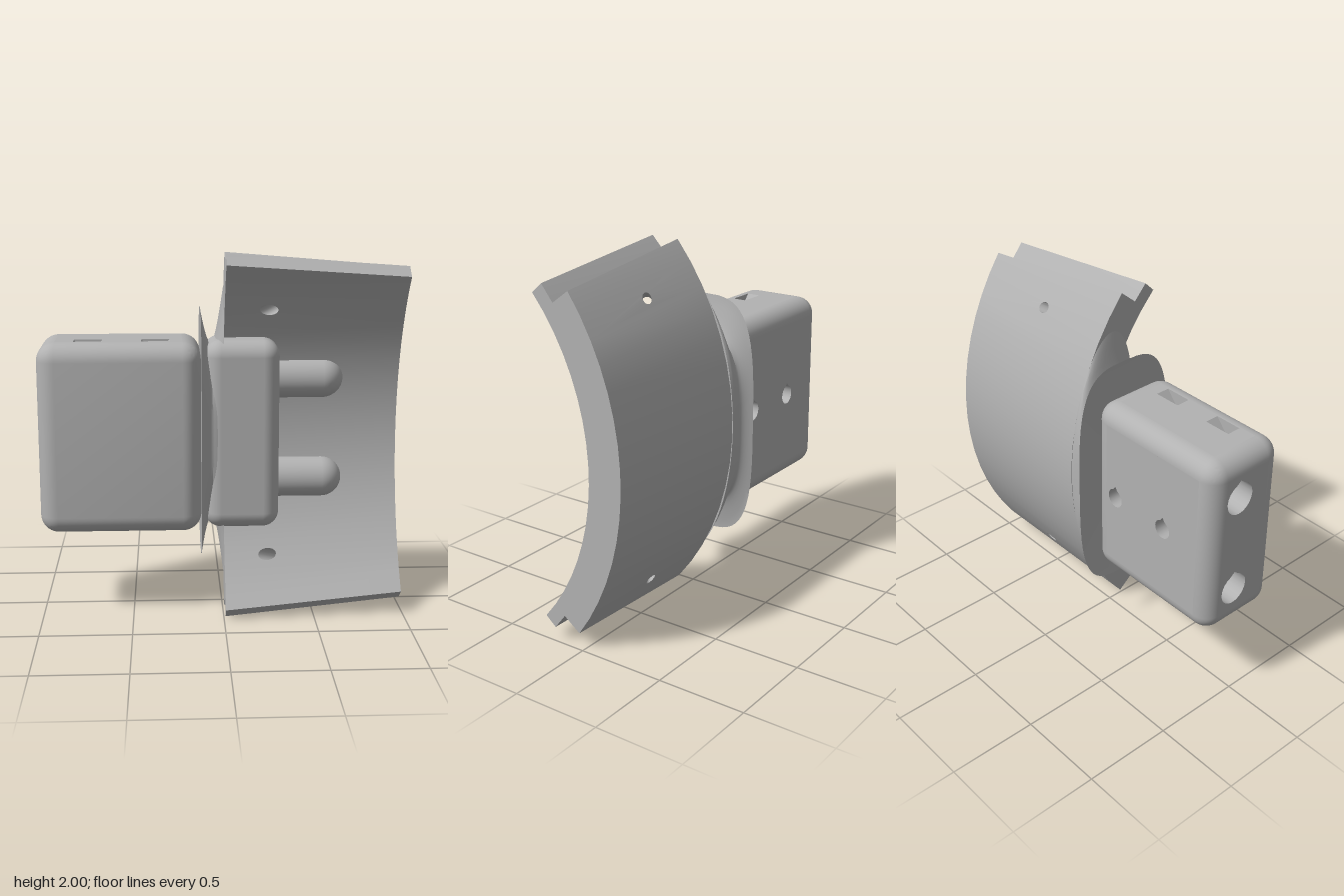
import * as THREE from 'three';
import { mergeGeometries, toCreasedNormals } from 'three/addons/utils/BufferGeometryUtils.js';
import { RoundedBoxGeometry } from 'three/addons/geometries/RoundedBoxGeometry.js';

const RAD = Math.PI / 180;
const OUTER = 1.55, STEP = 1.43, INNER = 1.35, AXIS_Z = 1.28;
const X0 = 0.01, X1 = 0.99;

// Non-indexed geometry from a list of triangle corners
function fromPoints(points) {
  const g = new THREE.BufferGeometry();
  g.setAttribute('position', new THREE.Float32BufferAttribute(points.flat(), 3));
  return g;
}

// 2D outline with holes, placed in space by a mapping rule
function plate(outline, holes, map) {
  const vec = (p) => new THREE.Vector2(p[0], p[1]);
  const shape = new THREE.Shape(outline.map(vec));
  holes.forEach((h) => shape.holes.push(new THREE.Path(h.map(vec))));
  const flat = new THREE.ShapeGeometry(shape).toNonIndexed().attributes.position;
  const pts = [];
  for (let i = 0; i < flat.count; i++) pts.push(map(flat.getX(i), flat.getY(i)));
  return fromPoints(pts);
}

// Skin over closed rings, with optional fan caps
function loft(rings, capStart, capEnd) {
  const pts = [], n = rings[0].length;
  for (let k = 0; k < rings.length - 1; k++) {
    const a = rings[k], b = rings[k + 1];
    for (let i = 0; i < n; i++) {
      const j = (i + 1) % n;
      pts.push(a[i], a[j], b[j], a[i], b[j], b[i]);
    }
  }
  const cap = (ring) => {
    const c = [0, 1, 2].map((d) => ring.reduce((s, p) => s + p[d], 0) / n);
    ring.forEach((p, i) => pts.push(c, p, ring[(i + 1) % n]));
  };
  if (capStart) cap(rings[0]);
  if (capEnd) cap(rings[rings.length - 1]);
  return fromPoints(pts);
}

const rect = (u0, u1, v0, v1) => [[u0, v0], [u1, v0], [u1, v1], [u0, v1]];

// Round loop, optionally drawn to a point at its top
function loop(cu, cv, ru, rv, tip = 1) {
  return Array.from({ length: 20 }, (_, i) => {
    const a = (i / 20) * Math.PI * 2;
    return [cu + ru * Math.cos(a), cv + rv * Math.sin(a) * (i === 5 ? tip : 1)];
  });
}

const finish = (parts) => toCreasedNormals(mergeGeometries(parts), 0.5);

// Curved shell: arc about a horizontal axis, narrowing towards +x
const outerEnd = (x) => (40.1 - 4.1 * x) * RAD;
const lipEnd = (x) => outerEnd(x) + 4.4 * RAD;
const polar = (x, r, a) => [x, 1 + r * Math.sin(a), AXIS_Z - r * Math.cos(a)];

function shellGeometry() {
  const parts = [];
  const innerMap = (x, t) => polar(x, INNER, t * lipEnd(x));
  const outerMap = (x, t) => polar(x, OUTER, t * outerEnd(x));
  const bore = (side, x, t, rx, rt) => loop(x, side * t, rx, rt);
  const skin = (count, map, x, t, rx, rt) => {
    for (let i = 0; i < count; i++) {
      const t0 = -1 + (2 * i) / count, t1 = -1 + (2 * (i + 1)) / count;
      const holes = [1, -1].filter((s) => s * t > t0 && s * t < t1).map((s) => bore(s, x, t, rx, rt));
      parts.push(plate(rect(X0, X1, t0, t1), holes, map));
    }
  };
  skin(17, innerMap, 0.25, 0.706, 0.05, 0.034);
  skin(15, outerMap, 0.48, 0.8, 0.035, 0.03);
  for (const s of [1, -1]) {
    // Slanted bore through the shell
    parts.push(loft([
      bore(s, 0.25, 0.706, 0.05, 0.034).map((p) => innerMap(...p)),
      bore(s, 0.48, 0.8, 0.035, 0.03).map((p) => outerMap(...p)),
    ]));
    // Stepped edge with a small recess
    const notch = [[0.35, 1.495], [0.4, 1.455], [0.45, 1.485], [0.4, 1.535]];
    const edge = (x, r) => polar(x, r, s * outerEnd(x));
    parts.push(plate(rect(X0, X1, STEP, OUTER), [notch], edge));
    parts.push(loft([
      notch.map((p) => edge(...p)),
      notch.map(([x, r]) => polar(x + 0.04, r, s * (outerEnd(x) - 0.06))),
    ], false, true));
    parts.push(plate(rect(X0, X1, 0, 1), [], (x, k) => polar(x, STEP, s * (outerEnd(x) + k * 4.4 * RAD))));
    parts.push(plate(rect(X0, X1, INNER, STEP), [], (x, r) => polar(x, r, s * lipEnd(x))));
  }
  // Crescent side faces
  for (const x of [X0, X1]) {
    const A = outerEnd(x), L = lipEnd(x), pts = [];
    const add = (r, a) => { const p = polar(x, r, a); pts.push([p[2], p[1]]); };
    for (let i = 0; i <= 15; i++) add(OUTER, A * (-1 + (2 * i) / 15));
    add(STEP, A);
    add(STEP, L);
    for (let i = 0; i <= 17; i++) add(INNER, L * (1 - (2 * i) / 17));
    add(STEP, -L);
    add(STEP, -A);
    parts.push(plate(pts, [], (z, y) => [x, y, z]));
  }
  return finish(parts);
}

// Rounded box whose left, back and top flats are replaced by pierced plates
function blockGeometry() {
  const w = 0.88, h = 1.05, d = 0.485, r = 0.1, c = [-0.56, 1.005, 0.0275];
  const box = new RoundedBoxGeometry(w, h, d, 6, r).attributes.position;
  const half = [w / 2, h / 2, d / 2], kept = [];
  for (let i = 0; i < box.count; i += 3) {
    const tri = [0, 1, 2].map((k) => [box.getX(i + k), box.getY(i + k), box.getZ(i + k)]);
    const mid = [0, 1, 2].map((k) => (tri[0][k] + tri[1][k] + tri[2][k]) / 3);
    const removed = [[0, -1], [1, 1], [2, -1]].some(([axis, sign]) =>
      mid.every((m, k) => (k === axis ? sign * m > half[k] - 1e-4 : Math.abs(m) < half[k] - r)));
    if (!removed) kept.push(...tri.map((p) => p.map((v, k) => v + c[k])));
  }
  const parts = [fromPoints(kept)];
  const lo = c.map((v, k) => v - half[k] + r), hi = c.map((v, k) => v + half[k] - r);
  const left = (x) => (z, y) => [x, y, z];
  const back = (z) => (x, y) => [x, y, z];
  const top = (y) => (x, z) => [x, y, z];
  const pierce = (outline, holes, map, deepMap) => {
    parts.push(plate(outline, holes, map));
    holes.forEach((q) => parts.push(loft([q.map((p) => map(...p)), q.map((p) => deepMap(...p))], false, true)));
  };
  // Peg sockets
  const sockets = [0.715, 1.29].map((y) => loop(-0.022, y, 0.088, 0.092, 1.2));
  pierce(rect(lo[2], hi[2], lo[1], hi[1]), sockets, left(-1), left(-0.55));
  // Back bores
  const bores = [-0.29, -0.655].map((x) => loop(x, 1, 0.052, 0.055, 1.35));
  pierce(rect(lo[0], hi[0], lo[1], hi[1]), bores, back(-0.215), back(0.05));
  // V-bottomed slots
  const mids = [-0.725, -0.362];
  const slots = mids.map((x) => rect(x - 0.077, x + 0.077, 0.08, 0.16));
  pierce(rect(lo[0], hi[0], lo[2], hi[2]), slots, top(1.53),
    (x, z) => [x < -0.55 ? mids[0] : mids[1], 1.44, z]);
  return finish(parts);
}

// Waisted collar: wide oval at the block, narrow neck, bowed oval at the shell
function collarGeometry() {
  const neck = { zc: -0.035, hz: 0.235, hy: 0.48, e: 3, bow: 0 };
  const ovalEnd = { zc: 0, hz: 0.32, hy: 0.69, e: 3.4, bow: 0 };
  const shellEnd = { zc: -0.04, hz: 0.23, hy: 0.8, e: 2, bow: 0.1 };
  const rings = [];
  for (let k = -6; k <= 6; k++) {
    const s = Math.abs(k) / 6, end = k < 0 ? ovalEnd : shellEnd, x = -0.0575 + 0.0625 * (k / 6);
    const mix = (key) => neck[key] + (end[key] - neck[key]) * s ** 1.7;
    rings.push(Array.from({ length: 64 }, (_, i) => {
      const a = (i / 64) * Math.PI * 2, p = 2 / mix('e');
      const power = (v) => Math.sign(v) * Math.abs(v) ** p;
      const dy = mix('hy') * power(Math.sin(a));
      return [x, 1 + dy, mix('zc') + mix('hz') * power(Math.cos(a)) + mix('bow') * dy * dy];
    }));
  }
  return finish([loft(rings, true, true)]);
}

export function createModel() {
  const group = new THREE.Group();
  const grey = new THREE.MeshStandardMaterial({ color: 0xb2b2b2, side: THREE.DoubleSide });
  grey.name = 'plain grey';
  const add = (name, geometry, x = 0, y = 0, z = 0) => {
    const mesh = new THREE.Mesh(geometry, grey);
    mesh.name = name;
    mesh.position.set(x, y, z);
    group.add(mesh);
    return mesh;
  };
  add('curvedShell', shellGeometry());
  add('mainBlock', blockGeometry());
  add('collar', collarGeometry());
  add('innerBlock', new RoundedBoxGeometry(0.41, 1.05, 0.35, 6, 0.09), 0.105, 1.005, 0.025);
  // Round-nosed pegs
  for (const y of [0.715, 1.29]) {
    const peg = add('peg', new THREE.CapsuleGeometry(0.115, 0.35, 10, 32), 0.39, y, -0.063);
    peg.rotation.z = -Math.PI / 2;
  }
  return group;
}
